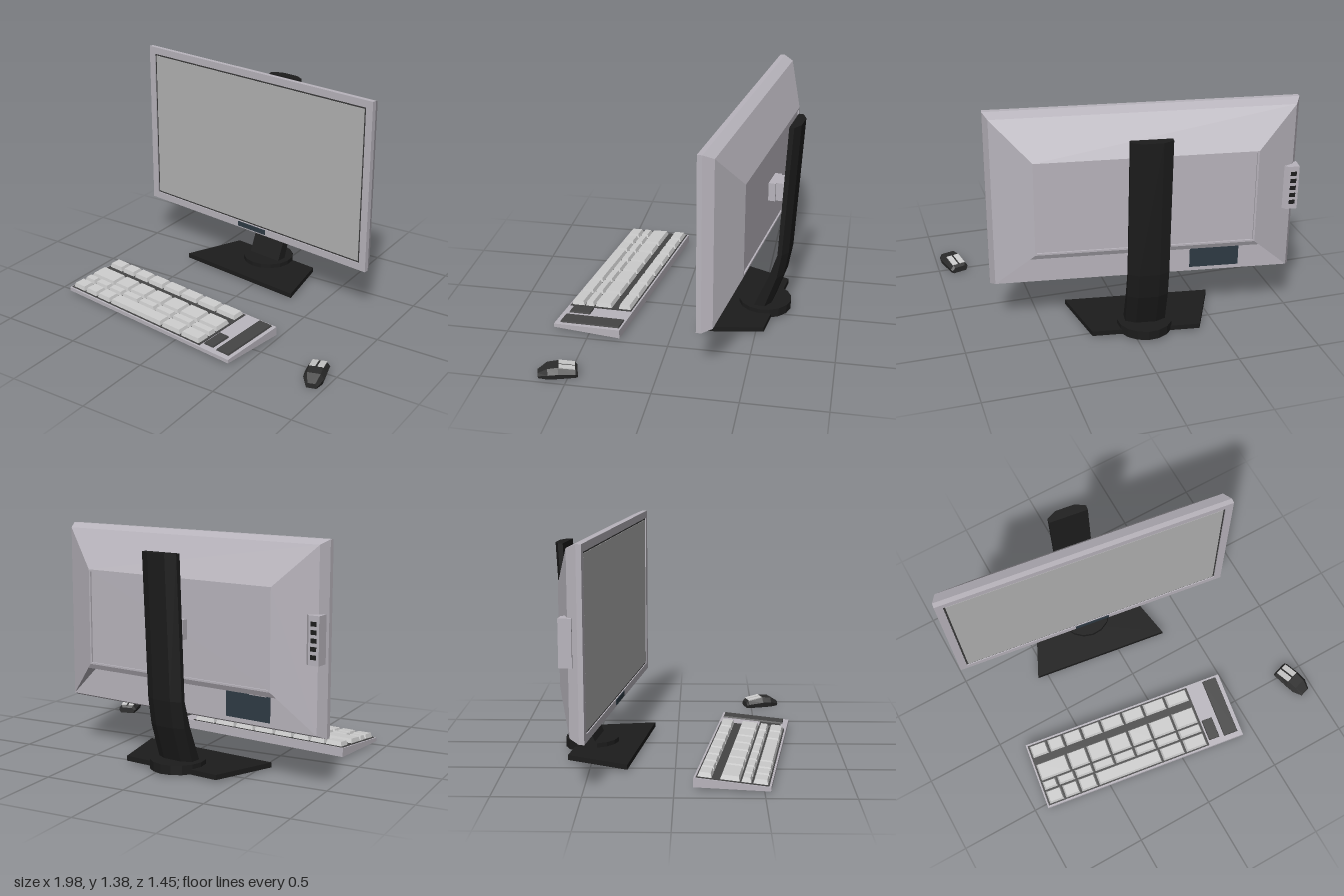
import * as THREE from 'three';

const mat = (color) => new THREE.MeshStandardMaterial({ color, flatShading: true });
const M = {
  shell: mat(0xb8b4bc), screen: mat(0xb2b2b2), dark: mat(0x3a3a3a), black: mat(0x1c1c1c),
  blue: mat(0x2e3a44), key: mat(0xcccccc), tray: mat(0x444444), mouse: mat(0x2b2b2b),
};

function add(parent, name, geometry, material, x = 0, y = 0, z = 0) {
  const mesh = new THREE.Mesh(geometry, material);
  mesh.name = name;
  mesh.position.set(x, y, z);
  parent.add(mesh);
  return mesh;
}
const box = (w, h, d) => new THREE.BoxGeometry(w, h, d);

// Builds a flat-faced geometry from convex polygons
function fromPolygons(polys) {
  const pos = [];
  for (const p of polys)
    for (let i = 1; i < p.length - 1; i++) pos.push(...p[0], ...p[i], ...p[i + 1]);
  const g = new THREE.BufferGeometry();
  g.setAttribute('position', new THREE.Float32BufferAttribute(pos, 3));
  g.computeVertexNormals();
  return g;
}

// Polygons joining a row of rings, closed at both ends; skip(ring, edge) leaves a gap
function loftPolygons(rings, skip = () => false) {
  const polys = [[...rings[0]].reverse(), rings[rings.length - 1]];
  for (let r = 0; r < rings.length - 1; r++) {
    const a = rings[r], b = rings[r + 1], n = a.length;
    for (let i = 0; i < n; i++) {
      const j = (i + 1) % n;
      if (!skip(r, i)) polys.push([a[i], a[j], b[j], b[i]]);
    }
  }
  return polys;
}
const loft = (rings) => fromPolygons(loftPolygons(rings));

function buildMonitor() {
  const g = new THREE.Group();
  g.name = 'monitor';

  // Housing: rectangles [half width, bottom, top, z] from the screen recess to the back panel
  const rects = [
    [0.858, 0.34, 1.335, -0.34], [0.858, 0.34, 1.335, -0.33],
    [0.905, 0.295, 1.38, -0.33], [0.905, 0.295, 1.38, -0.36],
    [0.875, 0.32, 1.355, -0.42], [0.643, 0.55, 1.125, -0.53],
    [0.632, 0.561, 1.114, -0.53], [0.632, 0.561, 1.114, -0.52],
  ];
  const rings = rects.map(([h, y0, y1, z]) => [[-h, y0, z], [-h, y1, z], [h, y1, z], [h, y0, z]]);
  const polys = loftPolygons(rings, (r, i) => r === 4 && i === 3);

  // Connector recess cut into the lower back slope
  const [aL, , , aR] = rings[4], [pL, , , pR] = rings[5];
  const bL = [-0.673, 0.52, -0.516], bR = [0.673, 0.52, -0.516];
  const cL = [-0.673, 0.52, -0.42], cR = [0.673, 0.52, -0.42];
  polys.push([aL, cL, cR, aR], [cL, bL, bR, cR], [bR, bL, pL, pR], [aL, bL, cL], [aR, cR, bR]);
  add(g, 'housing', fromPolygons(polys), M.shell);

  // Screen, its dark border and the small plate below
  add(g, 'screenBorder', box(1.714, 0.993, 0.004), M.dark, 0, 0.8375, -0.338);
  add(g, 'screen', box(1.692, 0.972, 0.004), M.screen, 0, 0.8375, -0.335);
  add(g, 'frontPlate', box(0.23, 0.032, 0.006), M.blue, 0, 0.32, -0.329);

  // Rear label and connectors
  add(g, 'rearLabel', box(0.295, 0.155, 0.006), M.blue, -0.43, 0.423, -0.421);
  for (let i = 0; i < 4; i++)
    add(g, 'connector', box(0.06, 0.006, 0.025), M.black, 0.58 - i * 0.085, 0.519, -0.47);
  add(g, 'powerSocket', box(0.11, 0.012, 0.05), M.shell, -0.54, 0.516, -0.468);
  for (const s of [-1, 1])
    add(g, 'socketHole', box(0.03, 0.006, 0.03), M.black, -0.54 + s * 0.025, 0.509, -0.468);

  // Port box on the right side of the back
  const profile = [[-0.905, -0.39], [-0.77, -0.40], [-0.84, -0.465], [-0.905, -0.465]];
  add(g, 'portBox', loft([0.715, 0.985].map((y) => profile.map(([x, z]) => [x, y, z]))), M.shell);
  for (let i = 0; i < 5; i++)
    add(g, 'sidePort', box(0.035, 0.025, 0.006), M.black, -0.872, 0.76 + i * 0.045, -0.465);

  // Mount between panel and stand
  add(g, 'mountPlate', box(0.16, 0.115, 0.045), M.shell, 0, 0.838, -0.54);
  add(g, 'mountBlock', box(0.13, 0.115, 0.08), M.shell, 0, 0.838, -0.59);
  return g;
}

function buildStand() {
  const g = new THREE.Group();
  g.name = 'stand';

  // Column: [y, front z, back z], bevelled at the back
  const column = [[0.05, -0.455, -0.553], [0.28, -0.55, -0.63], [0.44, -0.6, -0.657], [1.28, -0.64, -0.7]];
  add(g, 'column', loft(column.map(([y, f, b]) => {
    const c = b + 0.03;
    return [[0.12, y, f], [0.12, y, c], [0.06, y, b], [-0.06, y, b], [-0.12, y, c], [-0.12, y, f]];
  })), M.black);

  // Tapered foot plate and round collar
  add(g, 'footPlate', loft([0.012, 0.042].map((y) =>
    [[0.445, y, -0.194], [0.323, y, -0.58], [-0.323, y, -0.58], [-0.445, y, -0.194]])), M.black);
  add(g, 'collar', new THREE.CylinderGeometry(0.165, 0.165, 0.056, 16), M.black, 0, 0.041, -0.505);
  return g;
}

// Key or pad with sloping sides, standing on y = 0
function taperedPad(x0, x1, z0, z1, h, inset) {
  const ring = (y, d) => [[x1 - d, y, z1 - d], [x1 - d, y, z0 + d], [x0 + d, y, z0 + d], [x0 + d, y, z1 - d]];
  return loft([ring(0, 0), ring(h, inset)]);
}

function buildKeyboard() {
  const g = new THREE.Group();
  g.name = 'keyboard';
  const x0 = -0.835, x1 = 0.52, z0 = 0.228, z1 = 0.66;
  const caseRing = (front, back) => [[x1, front, z1], [x1, back, z0], [x0, back, z0], [x0, front, z1]];
  add(g, 'keyboardCase', loft([caseRing(0.012, 0.012), caseRing(0.035, 0.067)]), M.shell);

  // Everything on top follows the slope of the case
  const top = new THREE.Group();
  top.name = 'keyboardTop';
  top.position.set(0, 0.067, z0);
  top.rotation.x = Math.atan2(0.032, z1 - z0);
  g.add(top);
  add(top, 'keyTray', taperedPad(-0.825, 0.287, 0.012, 0.422, 0.004, 0), M.tray);
  add(top, 'numberPad', taperedPad(0.4, 0.495, 0.012, 0.4, 0.01, 0.003), M.tray);
  add(top, 'arrowPad', taperedPad(0.298, 0.37, 0.255, 0.393, 0.01, 0.003), M.tray);

  // Key rows: depth range and key boundaries
  const rows = [
    [0.018, 0.1, [-0.82, -0.7, -0.59, -0.465, -0.33, -0.18, -0.035, 0.12, 0.28]],
    [0.145, 0.257, [-0.82, -0.61, -0.475, -0.33, -0.185, -0.04, 0.12, 0.28]],
    [0.264, 0.322, [-0.82, -0.72, -0.6, -0.475, -0.33, -0.185, -0.04, 0.12, 0.28]],
    [0.33, 0.415, [-0.82, -0.71, -0.6, -0.48, -0.035, 0.125, 0.28]],
  ];
  for (const [a, b, xs] of rows)
    for (let i = 0; i < xs.length - 1; i++)
      add(top, 'key', taperedPad(xs[i] + 0.005, xs[i + 1] - 0.005, a, b, 0.03, 0.009), M.key);
  return g;
}

function buildMouse() {
  const g = new THREE.Group();
  g.name = 'mouse';
  g.position.set(0.902, 0, 0.565);
  g.rotation.y = 0.29;

  // Body sections: [z, half width, height]
  const sections = [[-0.113, 0.052, 0.036], [-0.1, 0.06, 0.05], [0, 0.062, 0.069], [0.06, 0.06, 0.064], [0.116, 0.034, 0.03]];
  add(g, 'mouseBody', loft(sections.map(([z, w, h]) => [
    [w * 0.85, 0, z], [w, h * 0.5, z], [w * 0.65, h, z], [-w * 0.65, h, z], [-w, h * 0.5, z], [-w * 0.85, 0, z],
  ])), M.mouse);

  // Two buttons on the sloping front
  for (const s of [-1, 1])
    add(g, 'mouseButton', box(0.036, 0.006, 0.095), M.key, s * 0.024, 0.0605, -0.052).rotation.x = -0.188;
  return g;
}

export function createModel() {
  const model = new THREE.Group();
  model.name = 'desktopSet';

  // Screen, stand and keyboard share one slight turn
  const turned = new THREE.Group();
  turned.name = 'turnedSet';
  turned.rotation.y = -0.144;
  const monitor = buildMonitor(), stand = buildStand();
  monitor.position.x = stand.position.x = -0.155;
  turned.add(monitor, stand, buildKeyboard());

  model.add(turned, buildMouse());
  return model;
}
